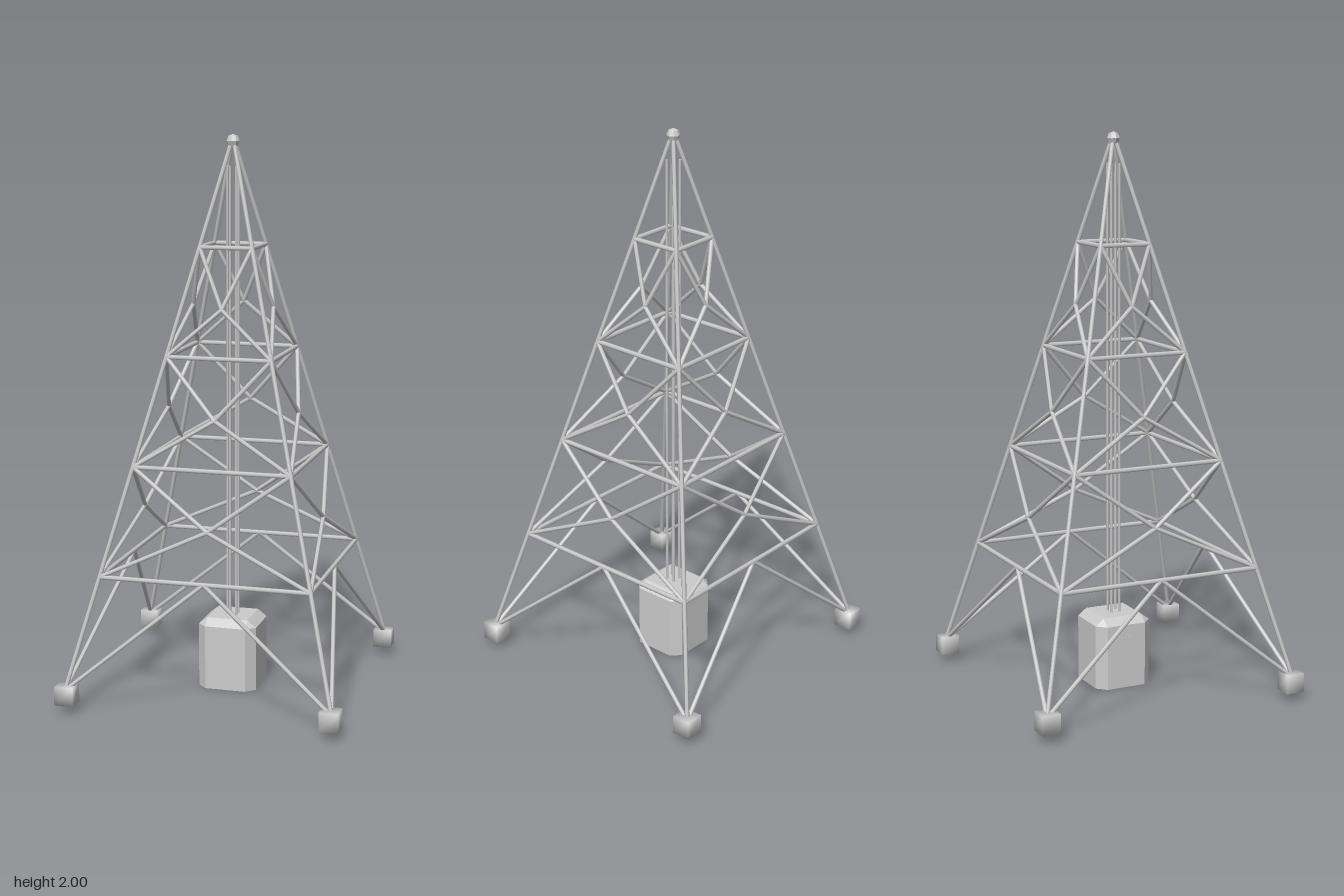
import * as THREE from 'three';
import { ConvexGeometry } from 'three/addons/geometries/ConvexGeometry.js';
import { mergeVertices } from 'three/addons/utils/BufferGeometryUtils.js';

const FOOT_Y = 0.08, APEX_Y = 1.99, FOOT_X = 0.478;
const smooth = new THREE.MeshStandardMaterial({ color: 0xcccccc });
const faceted = new THREE.MeshStandardMaterial({ color: 0xcccccc, flatShading: true });

// Half width of the tower at a given height
const halfWidth = y => FOOT_X * (APEX_Y - y) / (APEX_Y - FOOT_Y);

function add(parent, name, geometry, material, x = 0, y = 0, z = 0) {
  const mesh = new THREE.Mesh(geometry, material);
  mesh.name = name;
  mesh.position.set(x, y, z);
  parent.add(mesh);
  return mesh;
}

// Round bar between two points
function bar(parent, name, a, b, radius) {
  const dir = b.clone().sub(a);
  const mesh = add(parent, name, new THREE.CylinderGeometry(radius, radius, dir.length(), 6), smooth);
  mesh.position.copy(a).add(b).multiplyScalar(0.5);
  mesh.quaternion.setFromUnitVectors(new THREE.Vector3(0, 1, 0), dir.normalize());
}

// Cube whose corners share their normals
function softCube(size) {
  const cube = new THREE.BoxGeometry(size, size, size);
  cube.deleteAttribute('normal');
  cube.deleteAttribute('uv');
  const merged = mergeVertices(cube);
  merged.computeVertexNormals();
  return merged;
}

// Box with cut vertical corners and a chamfered top
function chamferedBlock(outer, inner, shoulder, top) {
  const points = [];
  for (const sx of [-1, 1]) for (const sz of [-1, 1]) {
    for (const y of [0, shoulder]) {
      points.push(new THREE.Vector3(sx * outer, y, sz * inner), new THREE.Vector3(sx * inner, y, sz * outer));
    }
    points.push(new THREE.Vector3(sx * inner, top, sz * inner));
  }
  return new ConvexGeometry(points);
}

export function createModel() {
  const model = new THREE.Group();
  model.name = 'latticeTower';

  const rings = [0.472, 0.852, 1.232, 1.61];
  const knots = [0.647, 1.022, 1.398];
  const footCube = softCube(0.068);

  // Four identical sides, each with one leg and its lattice
  for (let i = 0; i < 4; i++) {
    const side = new THREE.Group();
    side.name = 'towerSide';
    side.rotation.y = i * Math.PI / 2;
    model.add(side);

    const at = (s, y) => new THREE.Vector3(s * halfWidth(y), y, halfWidth(y));

    add(side, 'foot', footCube, smooth, 0.474, 0.065, 0.474);
    bar(side, 'leg', at(1, FOOT_Y), at(1, APEX_Y), 0.008);
    for (const y of rings) bar(side, 'crossBar', at(-1, y), at(1, y), 0.0085);

    for (const s of [-1, 1]) {
      bar(side, 'footBrace', at(s, FOOT_Y), at(0, rings[0]), 0.008);
      // Braces of each bay meet on the centre line
      knots.forEach((y, k) => {
        bar(side, 'lowerBrace', at(s, rings[k]), at(0, y), 0.008);
        bar(side, 'upperBrace', at(s, rings[k + 1]), at(0, y), 0.008);
      });
    }

    // Central riser rod
    add(side, 'riserRod', new THREE.CylinderGeometry(0.005, 0.005, 1.64, 6), smooth, 0.016, 1.07, 0.016);
  }

  // Machine housing with a small panel on its right side
  add(model, 'housing', chamferedBlock(0.108, 0.075, 0.235, 0.26), faceted);
  add(model, 'sidePanel', new THREE.BoxGeometry(0.006, 0.11, 0.045), faceted, -0.107, 0.135, 0);

  // Ball on the tip
  add(model, 'topBall', new THREE.SphereGeometry(0.024, 8, 4), faceted, 0, 1.976, 0);

  return model;
}
